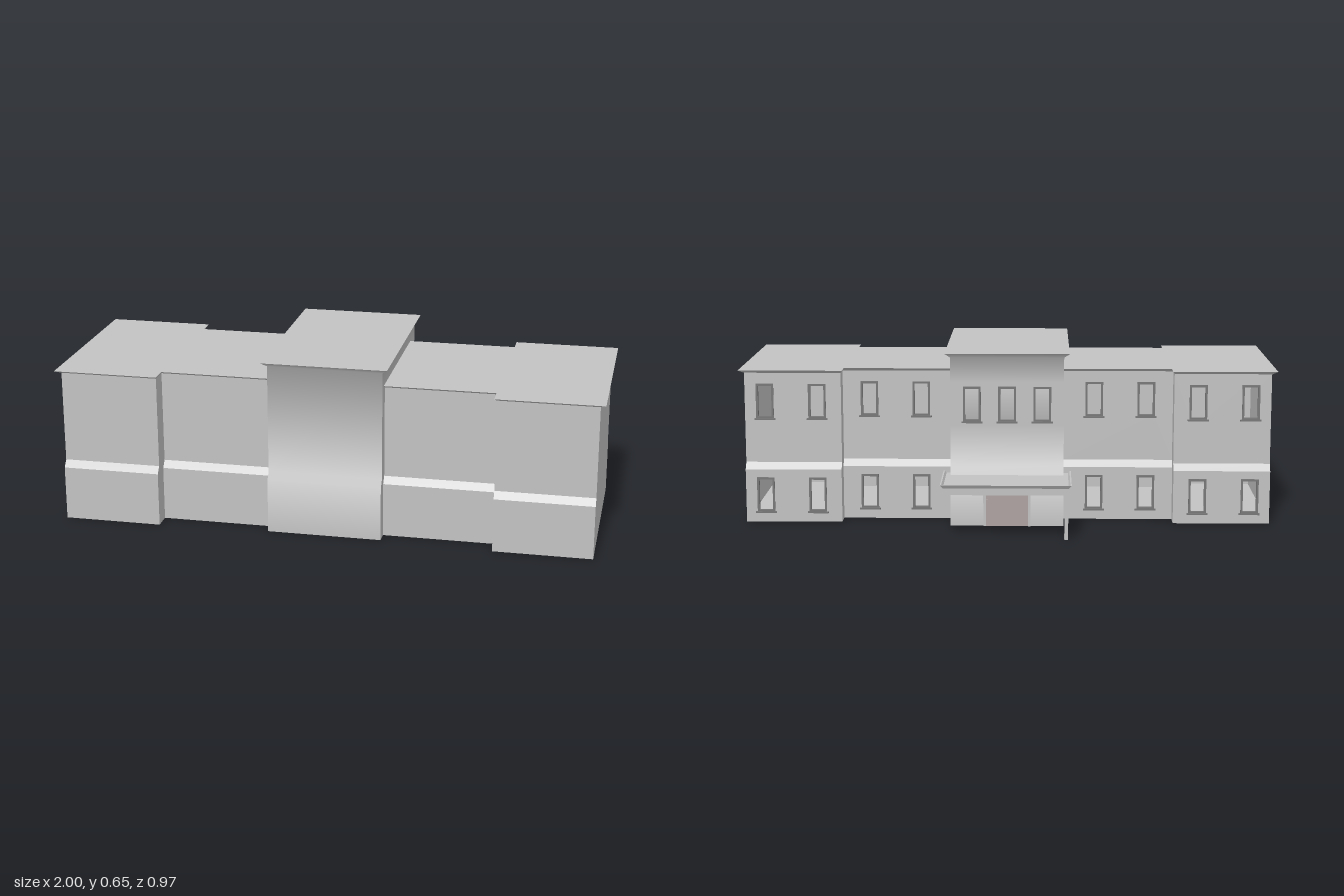
import * as THREE from 'three';

const mat = (name, color) => new THREE.MeshStandardMaterial({ name, color, side: THREE.DoubleSide });

export function createModel() {
  const model = new THREE.Group();
  const stone = mat('stone', 0xc2c2c2);
  const trim = mat('window trim', 0x777777);
  const doorPaint = mat('door paint', 0xada2a2);

  const add = (name, geo, material = stone) => {
    const m = new THREE.Mesh(geo, material);
    m.name = name;
    model.add(m);
    return m;
  };
  const box = (name, w, h, d, x, y, z, material) =>
    add(name, new THREE.BoxGeometry(w, h, d).translate(x, y, z), material);
  const polygon = (pts) => new THREE.Shape(pts.map(([x, y]) => new THREE.Vector2(x, y)));
  const rect = (x0, x1, y0, y1) => [[x0, y0], [x1, y0], [x1, y1], [x0, y1]];

  // Faceted skin between rows of points
  const skin = (rows) => {
    const n = rows[0].length, index = [];
    for (let r = 0; r < rows.length - 1; r++) {
      for (let i = 0; i < n - 1; i++) {
        const a = r * n + i, b = a + n;
        index.push(a, a + 1, b + 1, a, b + 1, b);
      }
    }
    const geo = new THREE.BufferGeometry();
    geo.setAttribute('position', new THREE.Float32BufferAttribute(rows.flat(2), 3));
    geo.setIndex(index);
    return geo;
  };
  const loft = (name, rows) => {
    const geo = skin(rows).toNonIndexed();
    geo.computeVertexNormals();
    add(name, geo);
  };
  // Skin of two-point rows, shaded smoothly from row to row
  const softLoft = (name, rows) => {
    const v = (p) => new THREE.Vector3(...p);
    const faces = rows.slice(1).map((row, r) => {
      const start = v(rows[r][0]);
      return v(rows[r][1]).sub(start).cross(v(row[0]).sub(start)).normalize();
    });
    const normals = rows.flatMap((_, r) => {
      const n = (faces[r - 1] ?? faces[r]).clone().add(faces[r] ?? faces[r - 1]).normalize();
      return [...n, ...n];
    });
    const geo = skin(rows);
    geo.setAttribute('normal', new THREE.Float32BufferAttribute(normals, 3));
    add(name, geo);
  };
  // Level plate from [x, z] points
  const level = (name, pts, y) => add(name,
    new THREE.ShapeGeometry(polygon(pts.map(([x, z]) => [x, -z]))).rotateX(-Math.PI / 2).translate(0, y, 0));
  // Upright plate facing sideways from [z, y] points
  const sidePlate = (name, s, x, pts) => add(name,
    new THREE.ShapeGeometry(polygon(pts.map(([z, y]) => [-s * z, y]))).rotateY(s * Math.PI / 2).translate(s * x, 0, 0));

  const BASE = 0.2, LEDGE = 0.225, IN = 0.02, OUT = 0.024;
  const WALL = 0.563, ROOF = 0.575, TALL = 0.63, TALLROOF = 0.647;
  const wing = { x0: 0.62, x1: 0.98, f: 0.48, b: -0.213, top: WALL };
  const link = { x0: 0.21, x1: 0.62, f: 0.412, b: -0.147, top: WALL };
  const hall = { x1: 0.21, f: 0.46, b: -0.266, top: WALL };
  const frontProfile = (p) => [[p.f, 0], [p.f, BASE], [p.f - IN, LEDGE], [p.f - IN, p.top]];
  const backProfile = (p) => [[p.b, 0], [p.b, BASE], [p.b + IN, LEDGE], [p.b + IN, p.top]];

  // Trimmed window with a projecting sill
  const window_ = (x, y, z) => {
    const frame = polygon(rect(-0.033, 0.033, -0.066, 0.066));
    frame.holes.push(polygon(rect(-0.025, 0.025, -0.058, 0.058)));
    const geo = new THREE.ExtrudeGeometry(frame, { depth: 0.014, bevelEnabled: false });
    add('windowFrame', geo.translate(x, y, z - 0.004), trim);
    box('windowSill', 0.078, 0.006, 0.013, x, y - 0.067, z - 0.001, trim);
  };
  // Wall on the back side, pierced by windows
  const backWall = (x0, x1, y0, y1, z, xs, yc) => {
    const wall = polygon(rect(-x1, -x0, y0, y1));
    for (const x of xs) {
      wall.holes.push(polygon(rect(-x - 0.028, -x + 0.028, yc - 0.06, yc + 0.06)));
      window_(x, yc, z);
    }
    add('backWall', new THREE.ShapeGeometry(wall).rotateY(Math.PI).translate(0, 0, z));
  };
  // Two-storey bay: front, back and floor
  const bay = (p, x0, x1, xs) => {
    loft('frontWall', frontProfile(p).map(([z, y]) => [[x0, y, z], [x1, y, z]]));
    backWall(x0, x1, 0, BASE, p.b, xs, 0.104);
    backWall(x0, x1, LEDGE, p.top, p.b + IN, xs, 0.456);
    loft('backLedge', [[[x1, BASE, p.b], [x0, BASE, p.b]], [[x1, LEDGE, p.b + IN], [x0, LEDGE, p.b + IN]]]);
    level('floor', [[x0, p.f], [x1, p.f], [x1, p.b], [x0, p.b]], 0);
  };

  // Hall: softly shaded walls running into a flared cornice
  const hx = hall.x1, hf = hall.f - IN, hb = hall.b + IN;
  const rx = hx + 0.02, rf = hf + OUT, rb = hb - OUT;
  const across = (x, y, z) => [[-x, y, z], [x, y, z]];
  softLoft('hallFront', [
    across(hx, 0, hall.f), across(hx, BASE, hall.f), across(hx, LEDGE, hf),
    across(hx, TALL, hf), across(rx, TALLROOF, rf)]);
  softLoft('hallBackBase', [
    across(-hx, 0, hall.b), across(-hx, BASE, hall.b), across(-hx, LEDGE, hb), across(-hx, 0.38, hb)]);
  backWall(-hx, hx, 0.38, 0.54, hb, [-0.13, 0, 0.13], 0.456);
  softLoft('hallBackCornice', [across(-hx, 0.54, hb), across(-hx, TALL, hb), across(-rx, TALLROOF, rb)]);
  level('hallFloor', rect(-hx, hx, hall.b, hall.f), 0);
  level('hallRoof', [[-rx, rf], [rx, rf], [rx, rb], [-rx, rb]], TALLROOF);

  for (const s of [1, -1]) {
    for (const [p, xs] of [[wing, [0.71, 0.905]], [link, [0.325, 0.52]]]) {
      const ends = [s * p.x0, s * p.x1].sort((a, b) => a - b);
      bay(p, ends[0], ends[1], xs.map((x) => s * x));
    }
    // End walls, hall walls and the returns beside the links
    sidePlate('endWall', s, wing.x1, [...frontProfile(wing), ...backProfile(wing).reverse()]);
    sidePlate('hallSideWall', s, hx, [...frontProfile(hall), ...backProfile(hall).reverse()]);
    sidePlate('frontReturn', -s, -wing.x0, [...frontProfile(wing), ...frontProfile(link).reverse()]);
    sidePlate('backReturn', -s, -wing.x0, [...backProfile(wing), ...backProfile(link).reverse()]);

    // Hall side cornice
    const along = (x, y, f, b) => (s > 0 ? [[x, y, f], [x, y, b]] : [[-x, y, b], [-x, y, f]]);
    softLoft('hallSideCornice', [along(hx, WALL, hf, hb), along(hx, TALL, hf, hb), along(rx, TALLROOF, rf, rb)]);

    // Flared cornice and flat roof over link and wing
    const outline = (o) => {
      const [wf, wb, lf, lb] = [wing.f - IN + o, wing.b + IN - o, link.f - IN + o, link.b + IN - o];
      const xi = wing.x0 - o * 0.3, xo = wing.x1 + o * 0.83;
      return [[hx, lb], [xi, lb], [xi, wb], [xo, wb], [xo, wf], [xi, wf], [xi, lf], [hx, lf]]
        .map(([x, z]) => [s * x, z]);
    };
    const at = (pts, y) => pts.map(([x, z]) => [x, y, z]);
    loft('cornice', [at(outline(0), WALL), at(outline(OUT), ROOF)]);
    level('roof', outline(OUT), ROOF);
  }

  // Porch: beams, flared rim, sunken roof and a single post
  const canopy = (x, y, z, back) => [[x, y, back], [x, y, z], [-x, y, z], [-x, y, back]];
  for (const s of [1, -1]) box('porchSideBeam', 0.018, 0.025, 0.268, s * 0.217, 0.1775, -0.346);
  box('porchFrontBeam', 0.452, 0.025, 0.018, 0, 0.1775, -0.471);
  loft('porchRim', [
    canopy(0.226, 0.19, -0.48, -0.23), canopy(0.237, 0.202, -0.488, -0.23),
    canopy(0.232, 0.202, -0.483, -0.23), canopy(0.226, 0.193, -0.478, -0.23)]);
  level('porchRoof', [[-0.226, -0.23], [0.226, -0.23], [0.226, -0.48], [-0.226, -0.48]], 0.193);
  box('porchPost', 0.014, 0.166, 0.014, -0.218, 0.083, -0.468);

  // Entrance: surround, door leaf and rails
  for (const s of [1, -1]) box('doorJamb', 0.01, 0.165, 0.008, s * 0.083, 0.0825, -0.268);
  box('doorHead', 0.156, 0.01, 0.008, 0, 0.16, -0.268);
  box('doorLeaf', 0.156, 0.155, 0.004, 0, 0.0775, -0.267, doorPaint);
  for (const y of [0.05, 0.1]) box('doorRail', 0.156, 0.004, 0.003, 0, y, -0.27, doorPaint);

  return model;
}
